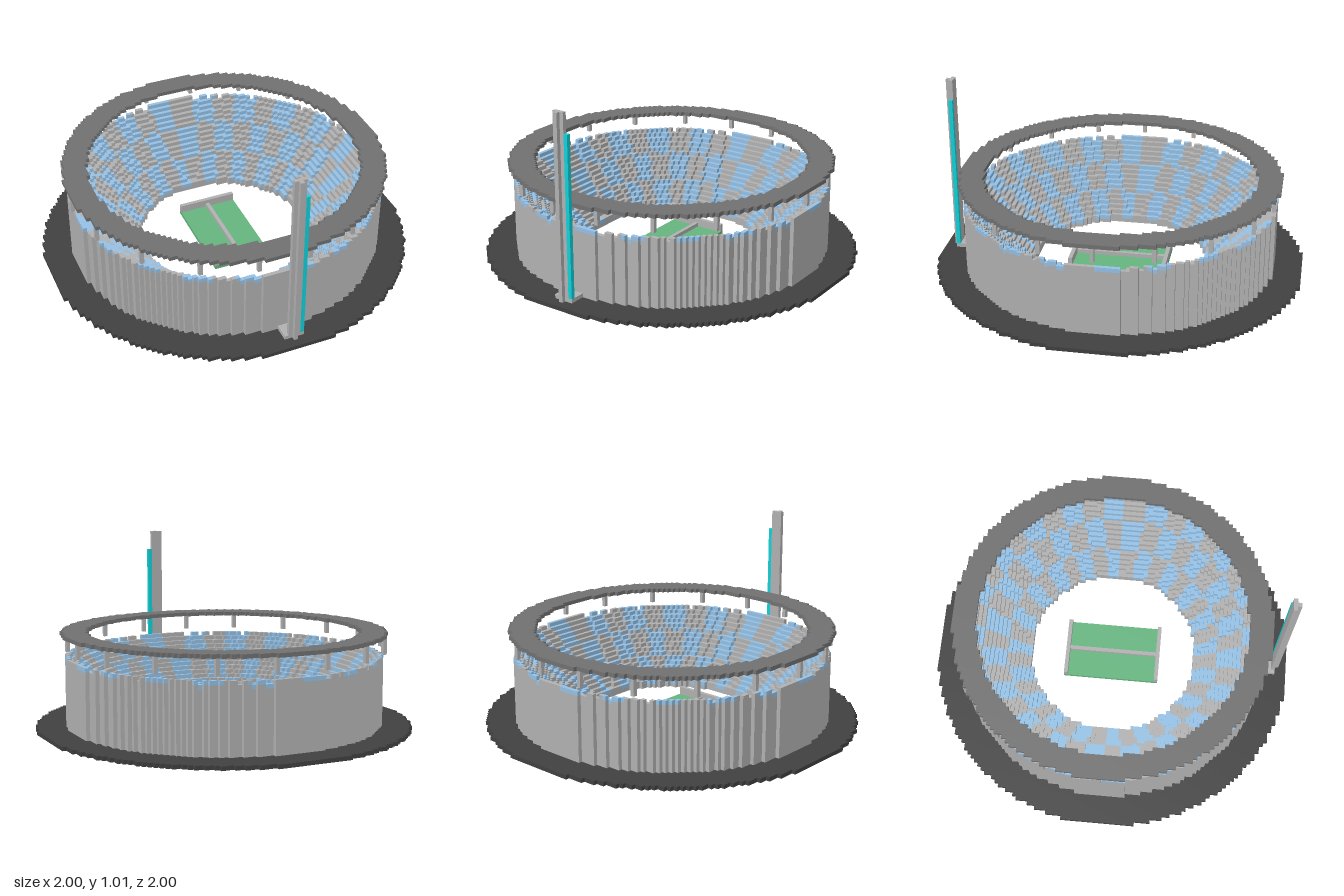
import * as THREE from 'three';

const N = 46;                 // cells from the centre to the rim
const U = 2 / (2 * N + 1);    // cell size

// Build a mesh from unit cells, keeping only the outward faces.
// test(x, y, z) says whether the cell is present; solid() is what hides faces.
function cells(name, color, range, test, { solid = test, h = U, y0 = 0 } = {}) {
  const [x0, x1, yA, yB, z0, z1] = range;
  const pos = [];
  const corners = [[0, 0], [1, 0], [1, 1], [0, 1]];
  for (let x = x0; x <= x1; x++) for (let z = z0; z <= z1; z++) for (let y = yA; y <= yB; y++) {
    if (!test(x, y, z)) continue;
    for (let a = 0; a < 3; a++) for (const d of [-1, 1]) {
      const n = [x, y, z];
      n[a] += d;
      if (solid(...n)) continue;
      const quad = corners.map(([s, t]) => {
        const p = [x, y, z];
        p[a] += d > 0 ? 1 : 0;
        p[(a + 1) % 3] += s;
        p[(a + 2) % 3] += t;
        return [(p[0] - 0.5) * U, y0 + p[1] * h, (p[2] - 0.5) * U];
      });
      if (d < 0) quad.reverse();
      for (const i of [0, 1, 2, 0, 2, 3]) pos.push(...quad[i]);
    }
  }
  const geo = new THREE.BufferGeometry();
  geo.setAttribute('position', new THREE.Float32BufferAttribute(pos, 3));
  geo.computeVertexNormals();
  const mesh = new THREE.Mesh(geo, new THREE.MeshStandardMaterial({ color, flatShading: true }));
  mesh.name = name;
  return mesh;
}

// A solid block of cells given by its inclusive range
function block(name, color, range, options) {
  const [x0, x1, y0, y1, z0, z1] = range;
  return cells(name, color, range, (x, y, z) =>
    x >= x0 && x <= x1 && y >= y0 && y <= y1 && z >= z0 && z <= z1, options);
}

// A flat one-cell ring between two radii
function ring(name, color, inner, outer, options) {
  return cells(name, color, [-N, N, 0, 0, -N, N], (x, y, z) => {
    const r = Math.hypot(x, z);
    return y === 0 && r >= inner && r < outer;
  }, options);
}

export function createModel() {
  const model = new THREE.Group();
  const GREY = 0xb0b0b0, ROOF = 0x707070, BASE = 0x404040;
  const BLUE = 0x94c0e4, GREEN = 0x66b47f, CYAN = 0x10d0d8;

  // Ground ring
  model.add(ring('groundRing', BASE, 38, 47));

  // Stepped bowl: each cell column is as tall as its distance allows
  const inner = 22, outer = 39.5, rows = 18;
  const bowlHeight = (x, z) => {
    const r = Math.hypot(x, z);
    if (r < inner || r >= outer) return 0;
    return Math.min(rows, 2 + Math.floor((r - inner) * 0.95));
  };
  const inBowl = (x, y, z) =>
    y < bowlHeight(x, z) && y >= (Math.hypot(x, z) >= 38 ? 1 : 0);
  // Blue seats: chequered blocks, 40 sectors by bands of six cells
  const isSeat = (x, y, z) => {
    if (!inBowl(x, y, z) || y !== bowlHeight(x, z) - 1) return false;
    const angle = (Math.atan2(x, -z) + 2 * Math.PI) % (2 * Math.PI);
    const sector = Math.floor(angle / (Math.PI / 20) + 1e-6);
    const band = Math.floor((Math.hypot(x, z) - inner) / 6);
    return (sector + band) % 2 === 1;
  };
  const bowlRange = [-40, 40, 0, rows, -40, 40];
  const bowlOptions = { solid: inBowl, h: 0.398 / rows };
  model.add(cells('stands', GREY, bowlRange,
    (x, y, z) => inBowl(x, y, z) && !isSeat(x, y, z), bowlOptions));
  model.add(cells('blueSeats', BLUE, bowlRange, isSeat, bowlOptions));

  // Roof ring and the posts below it
  const roofY = 0.508;
  model.add(ring('roofRing', ROOF, 34.5, 40.5, { y0: roofY }));
  const posts = new THREE.Group();
  posts.name = 'roofPosts';
  for (let i = 0; i < 18; i++) {
    const a = i * Math.PI / 9;
    const x = Math.floor(39.5 * Math.cos(a)), z = Math.floor(39.5 * Math.sin(a) + 1e-6);
    posts.add(block('roofPost', GREY, [x, x, -4, -1, z, z], { y0: roofY }));
  }
  model.add(posts);

  // Playing field with end bars and a centre line
  model.add(block('field', GREEN, [-7, 7, 0, 0, -12, 12]));
  for (const z of [-12, 12]) model.add(block('endBar', GREY, [-7, 7, 1, 2, z, z]));
  model.add(block('centreLine', GREY, [0, 0, 1, 1, -11, 11]));

  // Tower at the front: footing, shaft with a rib, and a coloured strip
  model.add(block('towerFooting', GREY, [-2, 2, 1, 1, 40, 43]));
  model.add(cells('tower', GREY, [-1, 1, 1, 46, 43, 44], (x, y, z) =>
    y >= 1 && y <= 46 && ((z === 43 && Math.abs(x) <= 1) || (z === 44 && x === 0))));
  model.add(block('towerStrip', CYAN, [2, 2, 2, 41, 43, 43]));

  return model;
}
